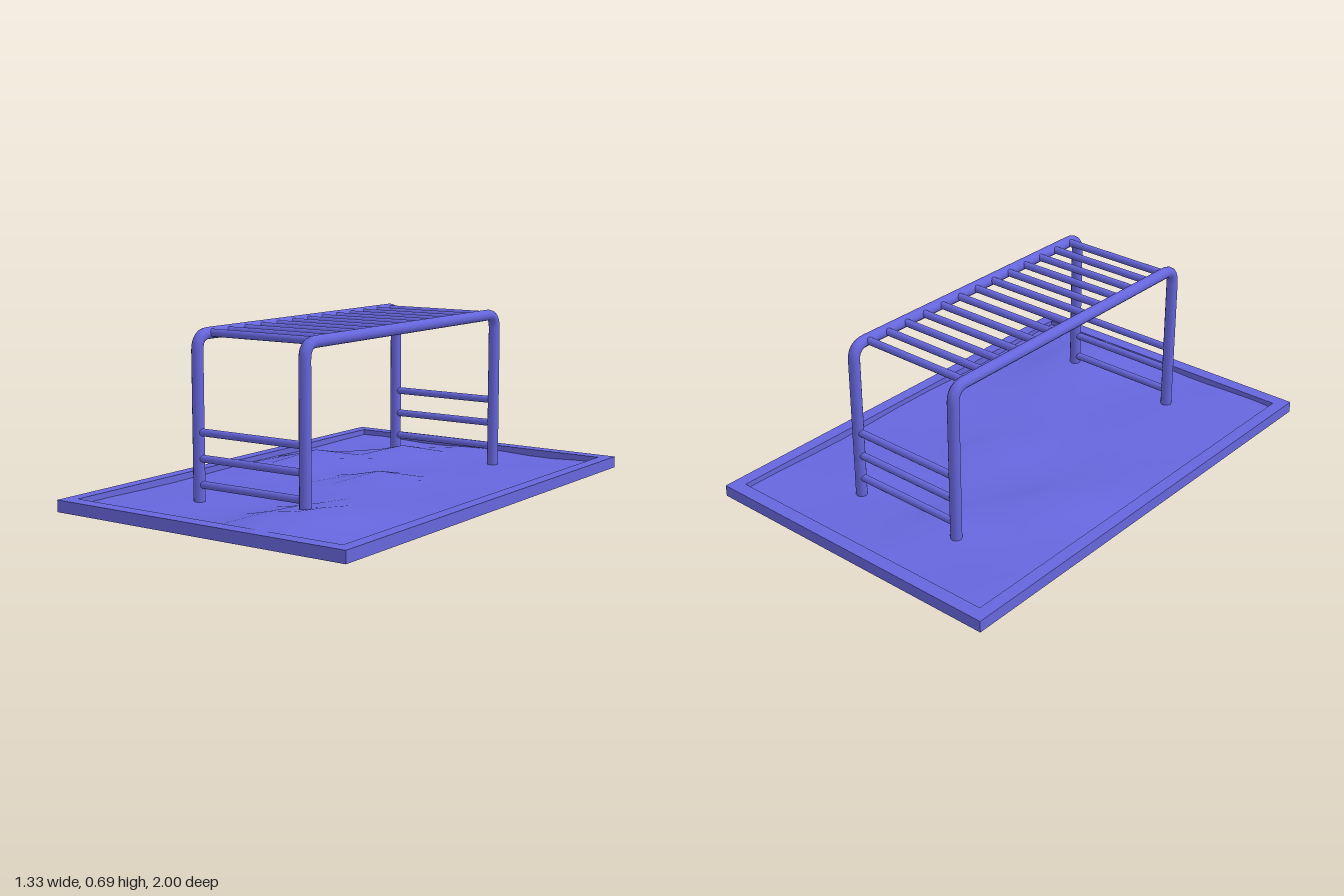
import * as THREE from 'three';

const blue = new THREE.MeshStandardMaterial({ color: 0x6666dd });
const blueThin = new THREE.MeshStandardMaterial({ color: 0x6666dd, side: THREE.DoubleSide });

const RAIL_X = 0.25, RAIL_Z = 0.667, RAIL_TOP = 0.667, RAIL_R = 0.023, BEND = 0.06;
const FOOT = 0.004;

function add(parent, name, geometry, material = blue) {
  const mesh = new THREE.Mesh(geometry, material);
  mesh.name = name;
  parent.add(mesh);
  return mesh;
}

// Rectangular border around the ground
function borderGeometry() {
  const rect = (shape, x, z) =>
    shape.moveTo(-x, -z).lineTo(x, -z).lineTo(x, z).lineTo(-x, z).closePath();
  const shape = rect(new THREE.Shape(), 0.665, 1);
  shape.holes.push(rect(new THREE.Path(), 0.613, 0.943));
  return new THREE.ExtrudeGeometry(shape, { depth: 0.047, bevelEnabled: false }).rotateX(-Math.PI / 2);
}

// Uneven ground sheet: a coarse grid raised by a few soft mounds
function groundGeometry() {
  const geo = new THREE.PlaneGeometry(1.226, 1.886, 11, 11).rotateX(-Math.PI / 2);
  // x, z, height, x spread, z spread
  const mounds = [
    [0.28, 0.77, 0.061, 0.2, 0.2],
    [-0.39, -0.26, 0.057, 0.13, 0.17],
    [-0.17, -0.6, 0.046, 0.11, 0.15],
    [0.05, -0.09, 0.038, 0.11, 0.13],
    [0.17, 0.5, 0.022, 0.2, 0.2],
    [-0.28, 0.7, 0.018, 0.2, 0.2],
  ];
  const pos = geo.attributes.position;
  for (let i = 0; i < pos.count; i++) {
    const x = pos.getX(i), z = pos.getZ(i);
    let y = 0.021;
    for (const [mx, mz, h, sx, sz] of mounds) {
      y += h * Math.exp(-(((x - mx) / sx) ** 2) - ((z - mz) / sz) ** 2);
    }
    // gentle ripple away from the mounds
    y += 0.005 * Math.sin(x * 11 + 1) * Math.cos(z * 7);
    pos.setY(i, Math.min(y, 0.083));
  }
  geo.computeVertexNormals();
  return geo;
}

// One bent tube: front leg, top rail and back leg
function railGeometry() {
  const p = (y, z) => new THREE.Vector3(0, y, z);
  const path = new THREE.CurvePath();
  const bendY = RAIL_TOP - BEND, bendZ = RAIL_Z - BEND;
  path.add(new THREE.LineCurve3(p(FOOT, RAIL_Z), p(bendY, RAIL_Z)));
  path.add(new THREE.QuadraticBezierCurve3(p(bendY, RAIL_Z), p(RAIL_TOP, RAIL_Z), p(RAIL_TOP, bendZ)));
  path.add(new THREE.LineCurve3(p(RAIL_TOP, bendZ), p(RAIL_TOP, -bendZ)));
  path.add(new THREE.QuadraticBezierCurve3(p(RAIL_TOP, -bendZ), p(RAIL_TOP, -RAIL_Z), p(bendY, -RAIL_Z)));
  path.add(new THREE.LineCurve3(p(bendY, -RAIL_Z), p(FOOT, -RAIL_Z)));
  return new THREE.TubeGeometry(path, 160, RAIL_R, 12, false);
}

export function createModel() {
  const model = new THREE.Group();
  model.name = 'monkeyBars';

  add(model, 'groundBorder', borderGeometry());
  add(model, 'ground', groundGeometry(), blueThin);

  // Side rails with closed feet
  const railGeo = railGeometry();
  const footGeo = new THREE.CircleGeometry(RAIL_R, 12).rotateX(Math.PI / 2);
  for (const side of [-1, 1]) {
    add(model, 'sideRail', railGeo).position.x = side * RAIL_X;
    for (const end of [-1, 1]) {
      add(model, 'footCap', footGeo).position.set(side * RAIL_X, FOOT, end * RAIL_Z);
    }
  }

  // Rungs: overhead bars and the ladders at both ends
  const rungGeo = new THREE.CylinderGeometry(0.015, 0.015, 2 * RAIL_X - 0.03, 12).rotateZ(Math.PI / 2);
  for (let i = -6; i <= 6; i++) {
    add(model, 'overheadRung', rungGeo).position.set(0, RAIL_TOP + 0.002, i * 0.1);
  }
  for (const end of [-1, 1]) {
    for (let i = 1; i <= 3; i++) {
      add(model, 'ladderRung', rungGeo).position.set(0, i * 0.1, end * RAIL_Z);
    }
  }
  return model;
}
